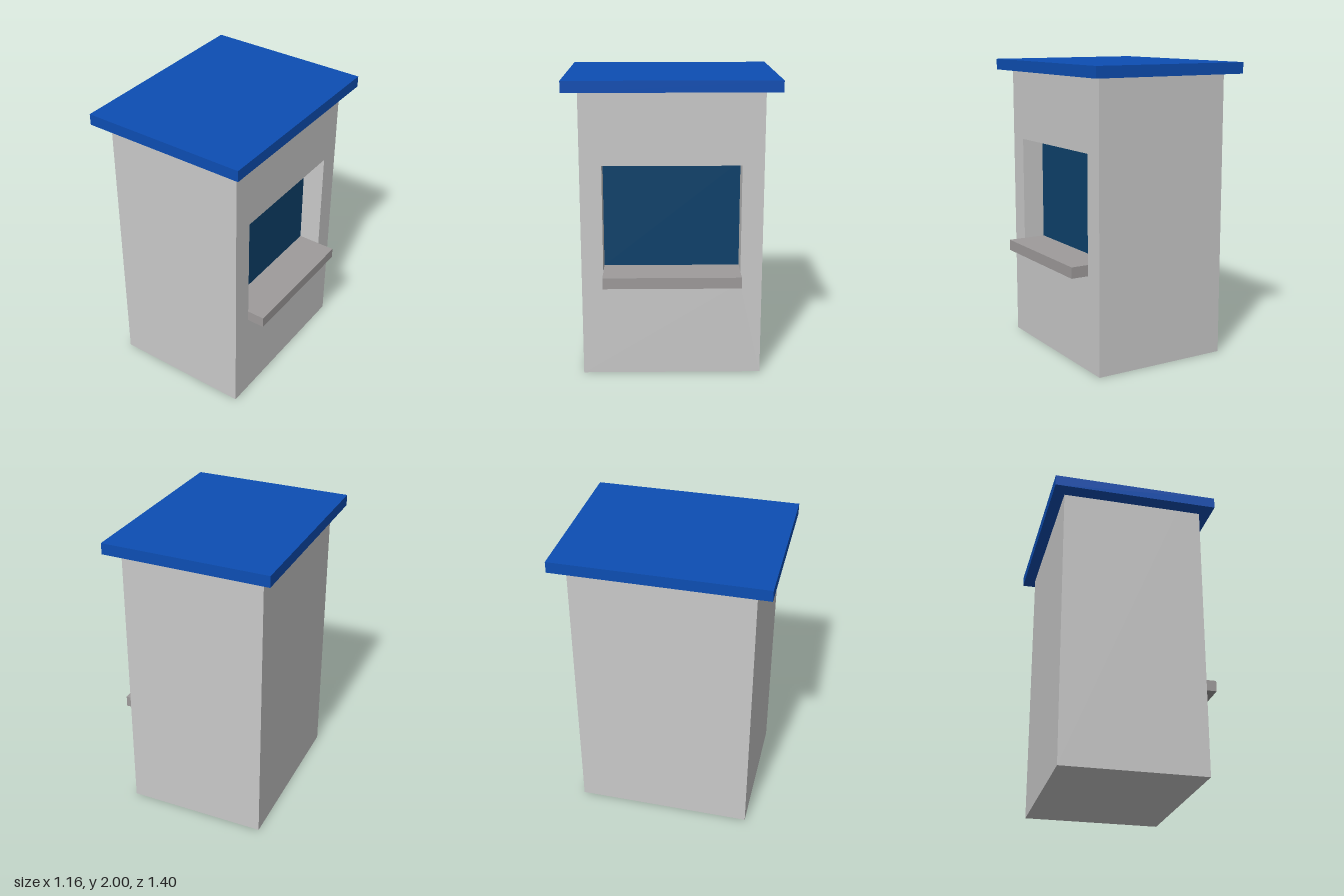
import * as THREE from 'three';

const material = (name, color) => {
  const m = new THREE.MeshStandardMaterial({ color });
  m.name = name;
  return m;
};

// Box given by its minimum and maximum corners
function box(name, mat, [x0, y0, z0], [x1, y1, z1]) {
  const mesh = new THREE.Mesh(new THREE.BoxGeometry(x1 - x0, y1 - y0, z1 - z0), mat);
  mesh.position.set((x0 + x1) / 2, (y0 + y1) / 2, (z0 + z1) / 2);
  mesh.name = name;
  return mesh;
}

// Adds a closed rectangle to a shape or hole
function rect(path, halfWidth, bottom, top) {
  path.moveTo(-halfWidth, bottom);
  path.lineTo(halfWidth, bottom);
  path.lineTo(halfWidth, top);
  path.lineTo(-halfWidth, top);
  path.closePath();
  return path;
}

export function createModel() {
  const wallGrey = material('wall grey', 0xc9c9c9);
  const shelfGrey = material('shelf grey', 0x9e9b9b);
  const roofBlue = material('roof blue', 0x0d4eb3);
  const glassBlue = material('glass blue', 0x0d416b);

  const wallTop = 1.925, halfDepth = 0.6;
  const back = -0.5, recess = 0.303, face = 0.46;
  const openHalf = 0.456, shelfBottom = 0.645, shelfTop = 0.72, openTop = 1.442;

  const model = new THREE.Group();
  model.name = 'booth';

  // Solid body behind the window recess
  model.add(box('body', wallGrey, [back, 0, -halfDepth], [recess, wallTop, halfDepth]));

  // Thick wall on the +x side with the window opening
  const outline = rect(new THREE.Shape(), halfDepth, 0, wallTop);
  outline.holes.push(rect(new THREE.Path(), openHalf, shelfBottom, openTop));
  const wallGeometry = new THREE.ExtrudeGeometry(outline, { depth: face - recess, bevelEnabled: false });
  wallGeometry.rotateY(Math.PI / 2);
  const wall = new THREE.Mesh(wallGeometry, wallGrey);
  wall.position.x = recess;
  wall.name = 'windowWall';
  model.add(wall);

  // Window pane at the back of the recess
  model.add(box('windowPane', glassBlue,
    [recess, shelfTop, -openHalf], [recess + 0.004, openTop, openHalf]));

  // Counter shelf, running from the pane out past the wall
  model.add(box('counterShelf', shelfGrey,
    [recess, shelfBottom, -openHalf], [0.58, shelfTop, openHalf]));

  // Flat overhanging roof
  model.add(box('roof', roofBlue, [-0.58, wallTop, -0.7], [0.54, 2, 0.7]));

  return model;
}
